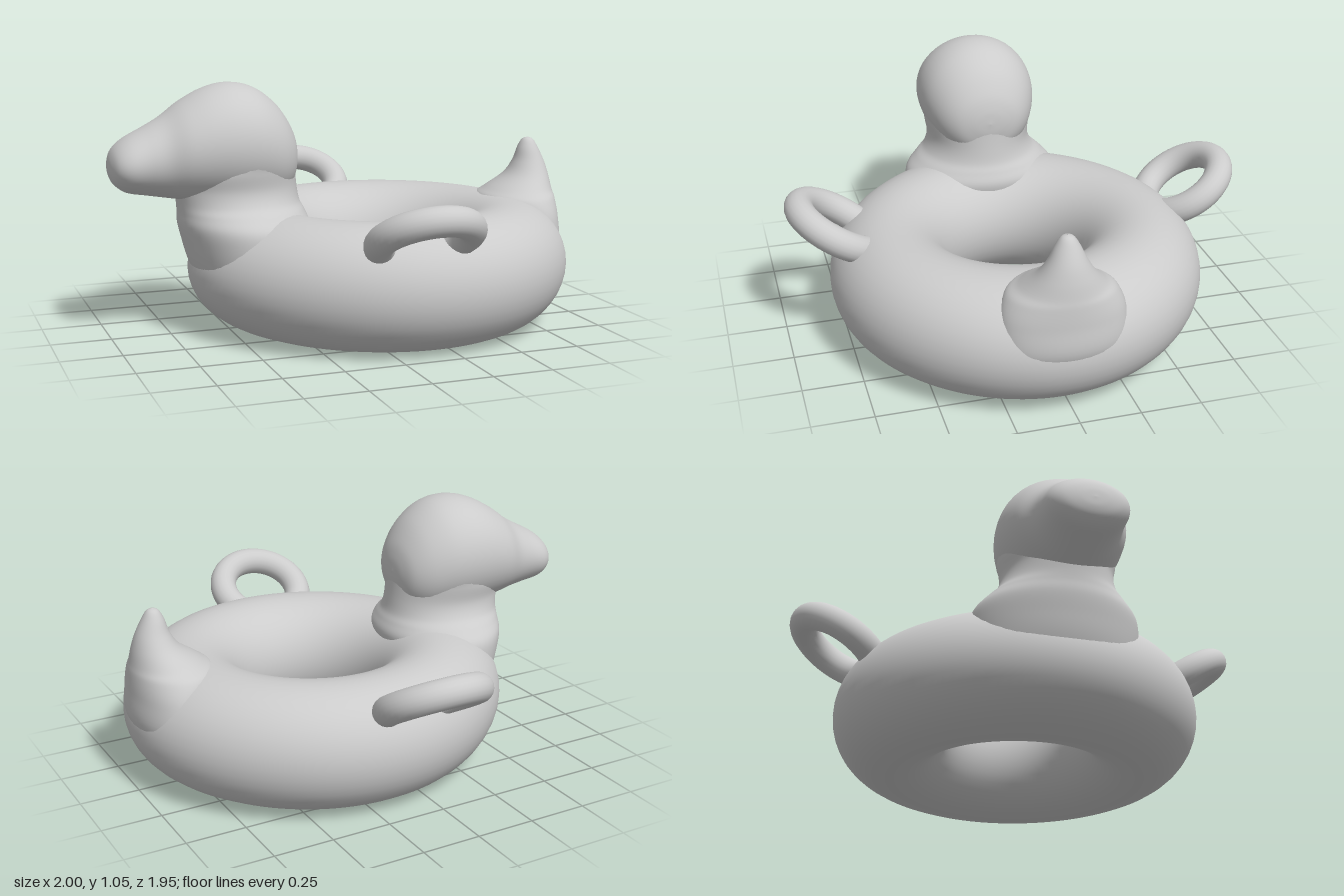
import * as THREE from 'three';
import { mergeVertices } from 'three/addons/utils/BufferGeometryUtils.js';

const CX = 0.18, CZ = 0.03; // centre of the swim ring
const RING = 0.5325, TUBE = 0.2525, HALF_HEIGHT = 0.26;

const material = new THREE.MeshStandardMaterial({ color: 0xcccccc, side: THREE.DoubleSide });

function addMesh(parent, name, geometry) {
  const mesh = new THREE.Mesh(geometry, material);
  mesh.name = name;
  parent.add(mesh);
  return mesh;
}

// Smooth loft of ellipses along 'x' or 'y'; each station is [position, low, high, halfWidthZ]
function loft(axis, stations, steps = 56, sides = 48) {
  const spline = (fn) => new THREE.CatmullRomCurve3(stations.map(fn), false, 'catmullrom', 0.5);
  const spans = spline(([p, lo, hi]) => new THREE.Vector3(p, lo, hi));
  const widths = spline(([p, , , w]) => new THREE.Vector3(p, w, 0));
  const positions = [], index = [];
  for (let i = 0; i <= steps; i++) {
    const s = spans.getPoint(i / steps);
    const w = Math.max(widths.getPoint(i / steps).y, 0.0005);
    const mid = (s.y + s.z) / 2, r = Math.max((s.z - s.y) / 2, 0.0005);
    for (let j = 0; j < sides; j++) {
      const a = (j / sides) * Math.PI * 2 * (axis === 'x' ? -1 : 1);
      const u = mid + r * Math.cos(a), z = CZ + w * Math.sin(a);
      if (axis === 'x') positions.push(s.x, u, z);
      else positions.push(u, s.x, z);
      if (i < steps) {
        const k = (j + 1) % sides, p = i * sides, q = p + sides;
        index.push(p + j, q + j, p + k, p + k, q + j, q + k);
      }
    }
  }
  const geometry = new THREE.BufferGeometry();
  geometry.setAttribute('position', new THREE.Float32BufferAttribute(positions, 3));
  geometry.setIndex(index);
  geometry.computeVertexNormals();
  return geometry;
}

// Inflated ring whose outer wall swells toward the neck and the tail
function ringGeometry() {
  let g = new THREE.TorusGeometry(RING, TUBE, 40, 112);
  g.rotateX(Math.PI / 2);
  g.scale(1, HALF_HEIGHT / TUBE, 1);
  g.deleteAttribute('uv');
  g.deleteAttribute('normal');
  g = mergeVertices(g, 1e-5);
  const pos = g.attributes.position;
  for (let i = 0; i < pos.count; i++) {
    const x = pos.getX(i), z = pos.getZ(i), r = Math.hypot(x, z);
    const angle = Math.atan2(z, Math.abs(x));
    const swell = (x < 0 ? 0.06 : 0.032) * Math.exp(-((angle / 0.6) ** 2));
    const k = 1 + (swell * Math.max(0, (r - RING) / TUBE)) / r;
    pos.setX(i, x * k);
    pos.setZ(i, z * k);
  }
  g.translate(CX, HALF_HEIGHT, CZ);
  g.computeVertexNormals();
  return g;
}

export function createModel() {
  const model = new THREE.Group();
  model.name = 'duckSwimRing';

  addMesh(model, 'ring', ringGeometry());

  // Neck, flaring out where it grows from the ring
  addMesh(model, 'neck', loft('y', [
    [0.16, -0.60, -0.22, 0.33],
    [0.30, -0.665, -0.19, 0.34],
    [0.40, -0.695, -0.18, 0.345],
    [0.47, -0.712, -0.17, 0.335],
    [0.52, -0.715, -0.187, 0.29],
    [0.56, -0.72, -0.205, 0.248],
    [0.62, -0.73, -0.215, 0.228],
    [0.70, -0.735, -0.222, 0.238],
    [0.78, -0.67, -0.226, 0.235],
    [0.88, -0.60, -0.30, 0.14],
  ]));

  // Head and beak in one sweep from beak tip to back of skull
  addMesh(model, 'headAndBeak', loft('x', [
    [-1.0, 0.72, 0.72, 0],
    [-0.995, 0.68, 0.76, 0.065],
    [-0.975, 0.645, 0.80, 0.125],
    [-0.93, 0.615, 0.838, 0.16],
    [-0.85, 0.60, 0.88, 0.172],
    [-0.78, 0.588, 0.92, 0.187],
    [-0.70, 0.575, 0.978, 0.226],
    [-0.60, 0.56, 1.03, 0.25],
    [-0.50, 0.55, 1.05, 0.257],
    [-0.40, 0.55, 1.03, 0.243],
    [-0.31, 0.56, 0.965, 0.203],
    [-0.25, 0.61, 0.88, 0.145],
    [-0.225, 0.68, 0.81, 0.075],
    [-0.218, 0.745, 0.745, 0],
  ], 72));

  // Pointed upright tail
  addMesh(model, 'tail', loft('y', [
    [0.18, 0.76, 0.94, 0.22],
    [0.30, 0.74, 1.0, 0.25],
    [0.42, 0.70, 1.0, 0.25],
    [0.50, 0.66, 0.996, 0.22],
    [0.54, 0.70, 0.99, 0.17],
    [0.60, 0.785, 0.98, 0.115],
    [0.66, 0.825, 0.963, 0.077],
    [0.72, 0.845, 0.935, 0.048],
    [0.755, 0.865, 0.913, 0.025],
    [0.765, 0.888, 0.89, 0],
  ]));

  // Grab handles tilted outward on both sides, half sunk into the ring
  for (const side of [1, -1]) {
    const handle = addMesh(model, side > 0 ? 'frontHandle' : 'backHandle',
      new THREE.TorusGeometry(0.18, 0.06, 20, 56));
    handle.rotation.x = side * THREE.MathUtils.degToRad(59);
    handle.position.set(0.07, 0.495, side * 0.762);
  }

  return model;
}
